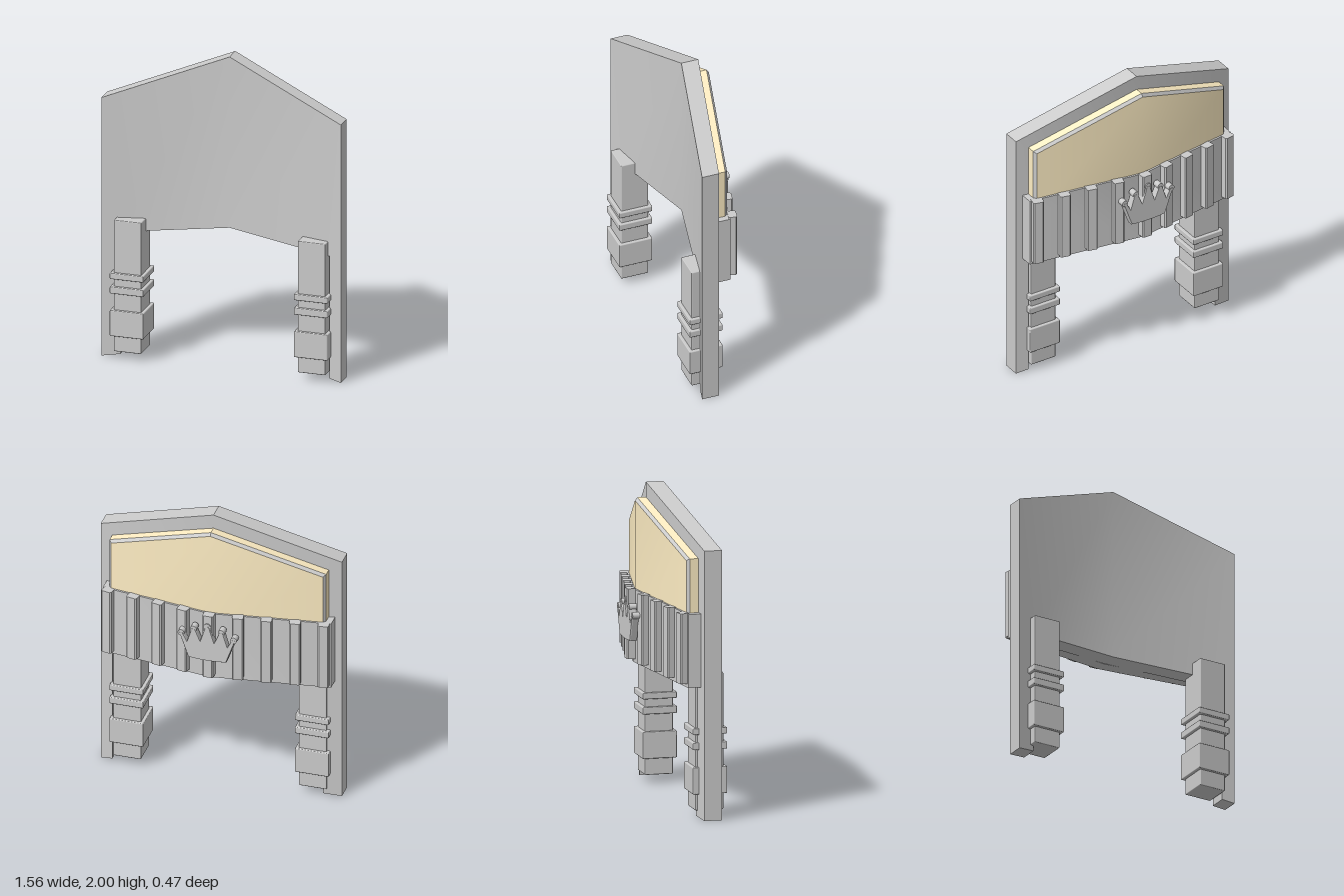
import * as THREE from 'three';
import { mergeGeometries, toCreasedNormals } from 'three/addons/utils/BufferGeometryUtils.js';
import { RoundedBoxGeometry } from 'three/addons/geometries/RoundedBoxGeometry.js';

const SLOPE = 0.212; // how far the panels sweep forward per unit of |x|
const grey = new THREE.MeshStandardMaterial({ color: 0xcccccc });
const cream = new THREE.MeshStandardMaterial({ color: 0xffeec4 });
const pale = new THREE.MeshStandardMaterial({ color: 0xf4f4f4, side: THREE.DoubleSide });

function add(parent, name, geometry, material = grey) {
  const mesh = new THREE.Mesh(geometry, material);
  mesh.name = name;
  parent.add(mesh);
  return mesh;
}

// V-shaped slab: two extruded half outlines, sheared forward away from the centre line
function bentSlab(rightHalf, backZ, depth, leftHalf = rightHalf) {
  const halves = [[1, rightHalf], [-1, leftHalf]].map(([side, points]) => {
    const shape = new THREE.Shape(points.map(([x, y]) => new THREE.Vector2(side * x, y)));
    const geometry = new THREE.ExtrudeGeometry(shape, { depth, bevelEnabled: false });
    const p = geometry.attributes.position;
    for (let i = 0; i < p.count; i++) {
      p.setZ(i, p.getZ(i) + backZ + SLOPE * Math.abs(p.getX(i)));
    }
    return geometry;
  });
  return toCreasedNormals(mergeGeometries(halves), 0.5);
}

// Chamfer strip joining two outlines given as [x, y, z] points
function strip(outer, inner) {
  const v = [];
  for (let i = 0; i < outer.length - 1; i++) {
    const [a, b, c, d] = [outer[i], outer[i + 1], inner[i + 1], inner[i]];
    v.push(...a, ...c, ...b, ...a, ...d, ...c);
  }
  const geometry = new THREE.BufferGeometry();
  geometry.setAttribute('position', new THREE.Float32BufferAttribute(v, 3));
  geometry.computeVertexNormals();
  return geometry;
}

// Full left-to-right path of a half outline, laid on the bent plane
function bentPath(half, z) {
  const [foot, corner, peak] = half;
  const at = (x, y) => [x, y, z + SLOPE * Math.abs(x)];
  return [at(-foot[0], foot[1]), at(-corner[0], corner[1]), at(...peak), at(...corner), at(...foot)];
}

function makeColumn(side) {
  const column = new THREE.Group();
  column.name = side > 0 ? 'leftColumn' : 'rightColumn';
  // name, bottom, top, width
  const blocks = [
    ['shaft', 0.05, 0.915, 0.18],
    ['baseBlock', 0.155, 0.325, 0.22],
    ['lowerRing', 0.435, 0.48, 0.22],
    ['upperRing', 0.53, 0.57, 0.22],
  ];
  for (const [name, y0, y1, w] of blocks) {
    add(column, name, new RoundedBoxGeometry(w, y1 - y0, w, 1, 0.006))
      .position.set(0, (y0 + y1) / 2, 0);
  }
  column.position.set(side * 0.6, 0, 0.125);
  return column;
}

function makeSlat(x) {
  const drop = 0.05 * Math.abs(x); // follows the sloping rail
  const top = 1.338 - drop, bottom = 0.895 - drop;
  const shape = new THREE.Shape();
  // bevelled cross-section, back side at -y
  [[-0.035, 0.01], [-0.035, -0.037], [-0.027, -0.045], [0.027, -0.045], [0.035, -0.037], [0.035, 0.01]]
    .forEach(([px, py], i) => (i ? shape.lineTo(px, py) : shape.moveTo(px, py)));
  const geometry = new THREE.ExtrudeGeometry(shape, {
    depth: top - bottom, bevelEnabled: false,
  });
  geometry.rotateX(-Math.PI / 2); // extrusion up, section -y towards +z
  geometry.rotateY(Math.PI);      // turn the bevelled side to the back
  geometry.rotateY(-Math.sign(x) * Math.atan(SLOPE));
  geometry.translate(x, bottom, -0.18 + SLOPE * Math.abs(x));
  return geometry;
}

function makeCrown() {
  const crown = new THREE.Group();
  crown.name = 'crown';
  const tips = [[-0.17, 1.195], [-0.09, 1.235], [0, 1.265], [0.09, 1.235], [0.17, 1.195]];
  const shape = new THREE.Shape();
  shape.moveTo(0.12, 1.03);
  shape.quadraticCurveTo(0, 1.015, -0.12, 1.03);
  tips.forEach(([x, y], i) => {
    shape.lineTo(x - 0.009, y);
    shape.lineTo(x + 0.009, y);
    if (i < 4) shape.lineTo((x + tips[i + 1][0]) / 2, i === 0 || i === 3 ? 1.135 : 1.15);
  });
  shape.closePath();
  const body = new THREE.ExtrudeGeometry(shape, {
    depth: 0.035, bevelEnabled: true, bevelThickness: 0.006, bevelSize: 0.004, bevelSegments: 1, curveSegments: 8,
  });
  body.translate(0, 0, -0.227);
  add(crown, 'crownBody', body);
  for (const [x, y] of tips) {
    const knob = new THREE.CylinderGeometry(0.021, 0.021, 0.05, 16);
    knob.rotateX(Math.PI / 2);
    add(crown, 'crownKnob', knob).position.set(x, y, -0.207);
  }
  return crown;
}

export function createModel() {
  const model = new THREE.Group();
  model.name = 'headboard';

  // Main board with the open space between its narrow legs
  const boardHalf = (inner) => [
    [0, 0.875], [inner, 0.82], [inner, 0.015], [0.78, 0], [0.78, 1.7], [0, 2],
  ];
  add(model, 'board', bentSlab(boardHalf(0.70), -0.097, 0.112, boardHalf(0.665)));

  // Cream inlay with a pale chamfered edge
  const outer = [[0.7, 1.2], [0.7, 1.64], [0, 1.905]];
  const inner = [[0.685, 1.2], [0.685, 1.627], [0, 1.886]];
  add(model, 'inlaySlab', bentSlab([...outer, [0, 1.2]], -0.152, 0.055), cream);
  add(model, 'inlayFace', bentSlab([...inner, [0, 1.2]], -0.167, 0.015), cream);
  add(model, 'inlayChamfer', strip(bentPath(outer, -0.152), bentPath(inner, -0.167)), pale);

  // Rail across the back and its upright slats
  add(model, 'rail', bentSlab([[0, 0.872], [0.738, 0.835], [0.738, 1.298], [0, 1.332]], -0.18, 0.083));
  for (let i = -4; i <= 4; i++) {
    add(model, 'slat', makeSlat(i * 0.1735));
  }

  model.add(makeCrown());
  for (const side of [1, -1]) model.add(makeColumn(side));
  return model;
}
